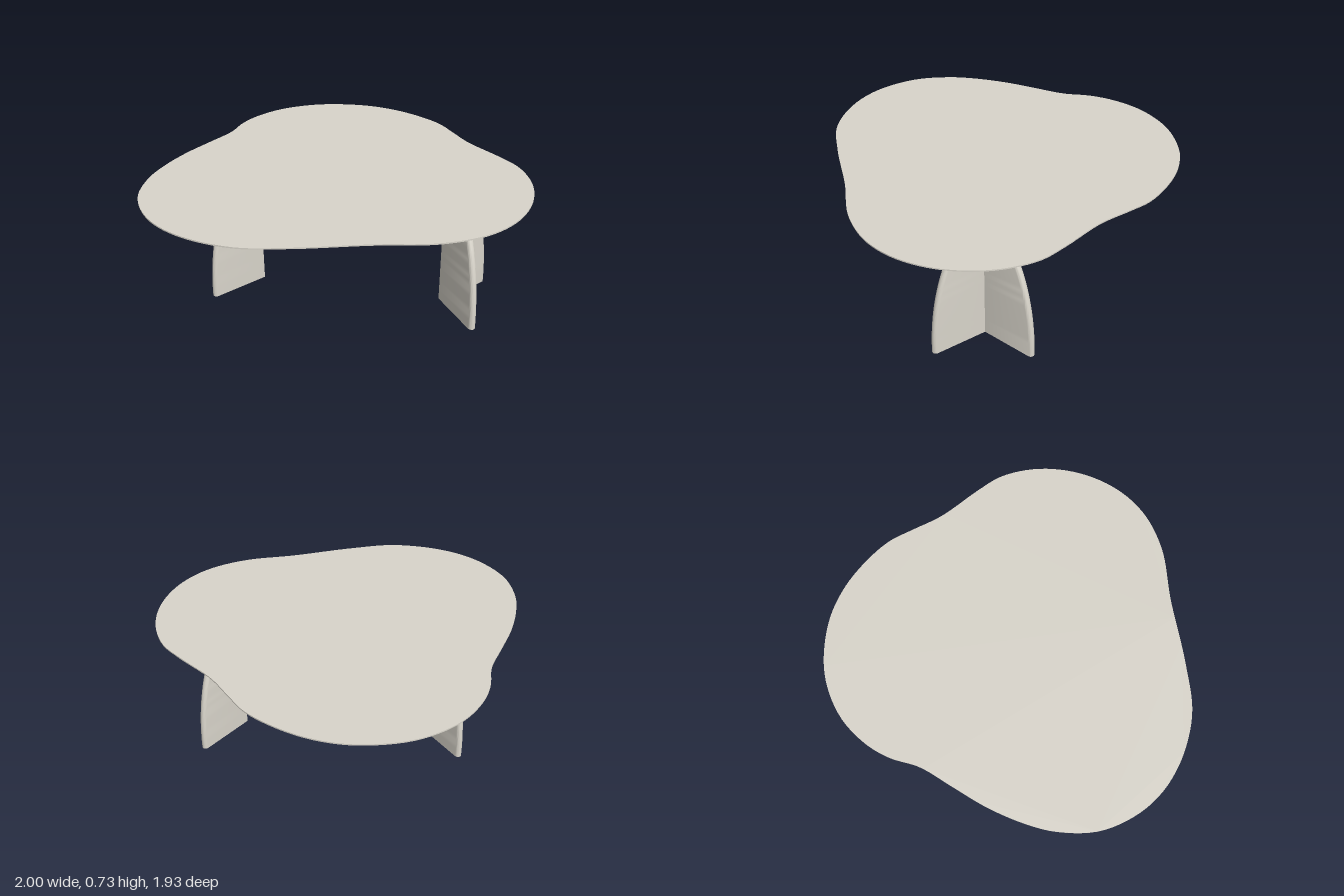
import * as THREE from 'three';
import { toCreasedNormals } from 'three/addons/utils/BufferGeometryUtils.js';

// Skins a stack of counter-clockwise rings (x, -z) from bottom to top and caps both ends.
function loft(levels) {
  const pos = [];
  const put = (p, y) => pos.push(p.x, y, -p.y);
  for (let k = 0; k < levels.length - 1; k++) {
    const { ring: lo, y: y0 } = levels[k];
    const { ring: hi, y: y1 } = levels[k + 1];
    for (let i = 0; i < lo.length; i++) {
      const j = (i + 1) % lo.length;
      put(lo[i], y0); put(lo[j], y0); put(hi[j], y1);
      put(lo[i], y0); put(hi[j], y1); put(hi[i], y1);
    }
  }
  const cap = ({ ring, y }, up) => {
    for (const [a, b, c] of THREE.ShapeUtils.triangulateShape(ring.slice(), [])) {
      for (const i of up ? [a, b, c] : [a, c, b]) put(ring[i], y);
    }
  };
  cap(levels[0], false);
  cap(levels[levels.length - 1], true);
  const geo = new THREE.BufferGeometry();
  geo.setAttribute('position', new THREE.Float32BufferAttribute(pos, 3));
  return toCreasedNormals(geo, 0.5);
}

// Free-form three-lobed outline, as x, z pairs
const OUTLINE = [
  [-0.13, -0.97], [-0.395, -0.925], [-0.6, -0.8], [-0.72, -0.645], [-0.775, -0.505], [-0.797, -0.345],
  [-0.866, -0.17], [-0.94, 0.02], [-0.988, 0.217], [-1, 0.377], [-0.957, 0.59], [-0.807, 0.794],
  [-0.6, 0.915], [-0.315, 0.962], [-0.05, 0.906], [0.3, 0.794], [0.6, 0.714], [0.802, 0.59],
  [0.93, 0.42], [0.995, 0.2], [0.984, -0.024], [0.904, -0.217], [0.797, -0.33], [0.6, -0.505],
  [0.487, -0.65], [0.4, -0.757], [0.246, -0.864], [0.07, -0.94],
];

// Tabletop: thin upright rim with a wide undercut bevel
function topGeometry() {
  const curve = new THREE.CatmullRomCurve3(
    OUTLINE.map(([x, z]) => new THREE.Vector3(x, -z, 0)), true, 'centripetal');
  const N = 160;
  const ring = (inset) => Array.from({ length: N }, (_, i) => {
    const p = curve.getPointAt(i / N);
    const t = curve.getTangentAt(i / N);
    return new THREE.Vector2(p.x - t.y * inset, p.y + t.x * inset);
  });
  return loft([
    { ring: ring(0.085), y: 0.687 },
    { ring: ring(0), y: 0.723 },
    { ring: ring(0), y: 0.73 },
  ]);
}

// Leg: two panels meeting in a V, with rounded outer edges that sweep inwards as they rise
function legGeometry() {
  const r = 0.02, H = 0.69, STEPS = 24, ARC = 10;
  const d = new THREE.Vector2(0.6, -0.8);
  const n = new THREE.Vector2(0.8, 0.6);
  const ring = (length) => {
    const arm = [];
    const c = d.clone().multiplyScalar(length - r).addScaledVector(n, r);
    for (let i = 0; i <= ARC; i++) {
      const a = (i / ARC) * Math.PI;
      arm.push(c.clone().addScaledVector(n, -r * Math.cos(a)).addScaledVector(d, r * Math.sin(a)));
    }
    const mirrored = arm.map((p) => new THREE.Vector2(p.x, -p.y)).reverse();
    return [new THREE.Vector2(0, 0), ...arm, new THREE.Vector2((2 * r) / n.x, 0), ...mirrored];
  };
  const levels = [];
  for (let k = 0; k <= STEPS; k++) {
    const y = (H * k) / STEPS;
    levels.push({ ring: ring(0.341 * Math.sqrt(1 - (y / 0.752) ** 2)), y });
  }
  return loft(levels);
}

export function createModel() {
  const stone = new THREE.MeshStandardMaterial({ color: 0xd8d4ca });
  stone.name = 'warm stone';
  const table = new THREE.Group();
  table.name = 'table';

  const top = new THREE.Mesh(topGeometry(), stone);
  top.name = 'tabletop';
  table.add(top);

  // Legs stand with their points towards each other
  const geo = legGeometry();
  for (const [name, x, turn] of [['leftLeg', 0.54, 0], ['rightLeg', -0.49, Math.PI]]) {
    const leg = new THREE.Mesh(geo, stone);
    leg.name = name;
    leg.position.set(x, 0, 0.06);
    leg.rotation.y = turn;
    table.add(leg);
  }
  return table;
}
